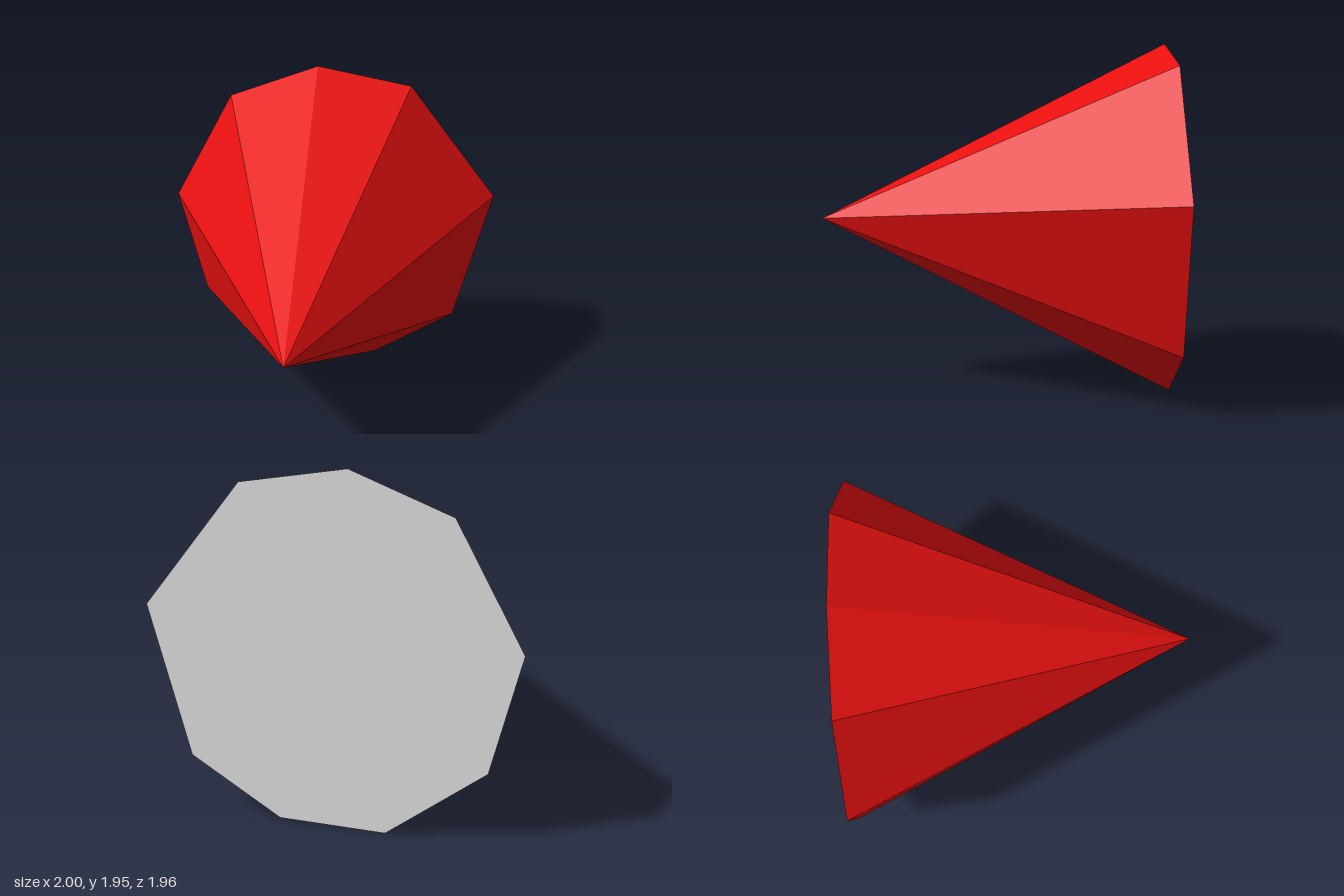
import * as THREE from 'three';

// Uneven nine-sided rim, counter-clockwise as seen from the front
const RIM = [
  [0.47, 1.85], [-0.1, 1.95], [-0.64, 1.74], [-1, 1.065], [-0.83, 0.41],
  [-0.29, 0.005], [0.29, 0.02], [0.78, 0.33], [1, 1.165],
];
const BACK_Z = -0.98;
const TIP = [0, 0.965, 0.98];

// Fan of flat triangles from one point to every rim edge
function fan(centre, reversed) {
  const positions = [];
  RIM.forEach((p, i) => {
    const a = [...p, BACK_Z];
    const b = [...RIM[(i + 1) % RIM.length], BACK_Z];
    positions.push(...centre, ...(reversed ? b : a), ...(reversed ? a : b));
  });
  const geometry = new THREE.BufferGeometry();
  geometry.setAttribute('position', new THREE.Float32BufferAttribute(positions, 3));
  geometry.computeVertexNormals();
  return geometry;
}

export function createModel() {
  const red = new THREE.MeshStandardMaterial({ color: 0xe71010, flatShading: true });
  red.name = 'red';
  const lightGrey = new THREE.MeshStandardMaterial({ color: 0xe7e7e7, flatShading: true });
  lightGrey.name = 'lightGrey';

  // Faceted sides running to the forward tip
  const coneSides = new THREE.Mesh(fan(TIP, false), red);
  coneSides.name = 'coneSides';

  // Flat cap facing backwards
  const baseCap = new THREE.Mesh(fan([0, TIP[1], BACK_Z], true), lightGrey);
  baseCap.name = 'baseCap';

  const model = new THREE.Group();
  model.name = 'cone';
  model.add(coneSides, baseCap);
  return model;
}
